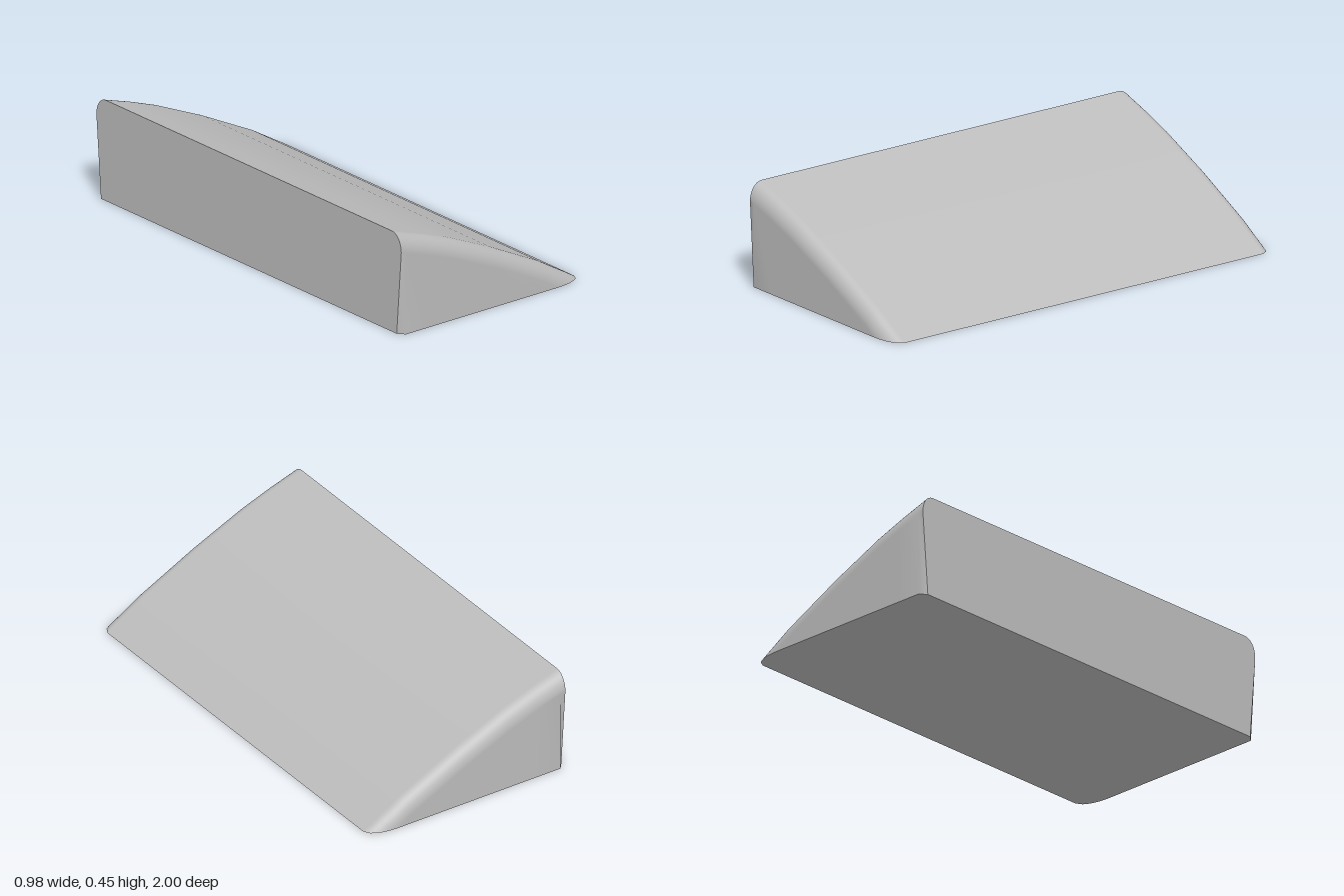
import * as THREE from 'three';

// Top curve of the wedge, high back (-x) to thin tip (+x)
const PROFILE = [[-0.49, 0.452], [-0.35, 0.407], [-0.21, 0.356], [0.03, 0.25], [0.3, 0.115], [0.49, 0]];
const COLUMNS = [-0.49, -0.465, -0.35, -0.21, -0.09, 0.03, 0.165, 0.3, 0.36, 0.4, 0.43, 0.455, 0.475, 0.49];
const ROUND_Y = 0.08, ROUND_Z = 0.06, ARC = 8;

function heightAt(x) {
  const k = Math.max(1, PROFILE.findIndex(p => p[0] >= x));
  const [x0, y0] = PROFILE[k - 1], [x1, y1] = PROFILE[k];
  return y0 + (y1 - y0) * (x - x0) / (x1 - x0);
}

// Cross-section from the +z foot, over the rounded edge, to the -z foot
function section(x, footInset) {
  const h = heightAt(x), depth = Math.min(h, ROUND_Y);
  const half = [];
  const inset = d => ROUND_Z * (1 - Math.sqrt(Math.max(0, 1 - (1 - d / ROUND_Y) ** 2)));
  half.push([0, 1 - inset(depth) - footInset]);
  for (let k = 0; k <= ARC; k++) {
    const d = depth * (1 - Math.sin(k / ARC * Math.PI / 2));
    half.push([h - d, 1 - inset(d)]);
  }
  const mirrored = half.map(([y, z]) => [y, -z]).reverse();
  return [...half, ...mirrored].map(([y, z]) => [x, y, z]);
}

function build(points, index) {
  const g = new THREE.BufferGeometry();
  g.setAttribute('position', new THREE.Float32BufferAttribute(points.flat(), 3));
  g.setIndex(index);
  g.computeVertexNormals();
  return g;
}

export function createModel() {
  const group = new THREE.Group();
  group.name = 'wedge';
  const grey = new THREE.MeshStandardMaterial({ name: 'grey', color: 0xbcbcbc });
  const add = (name, geometry) => {
    const mesh = new THREE.Mesh(geometry, grey);
    mesh.name = name;
    group.add(mesh);
  };

  // The back foot corners are slightly cut in
  const rings = COLUMNS.map((x, i) => section(x, i === 0 ? 0.03 : 0));
  const n = rings[0].length;

  // Curved top, rounded edges and end walls
  const skin = [];
  for (let i = 0; i < rings.length - 1; i++) {
    for (let j = 0; j < n - 1; j++) {
      const a = i * n + j, b = a + n;
      skin.push(a, b, a + 1, b, b + 1, a + 1);
    }
  }
  add('curvedShell', build(rings.flat(), skin));

  // Upright back wall
  const fan = [];
  for (let j = 1; j < n - 1; j++) fan.push(0, j, j + 1);
  add('backWall', build(rings[0], fan));

  // Flat base between the two feet of every section
  const feet = rings.flatMap(r => [r[0], r[n - 1]]);
  const base = [];
  for (let i = 0; i < rings.length - 1; i++) {
    const a = 2 * i, b = a + 1;
    base.push(b, b + 2, a, b + 2, a + 2, a);
  }
  add('base', build(feet, base));

  return group;
}
